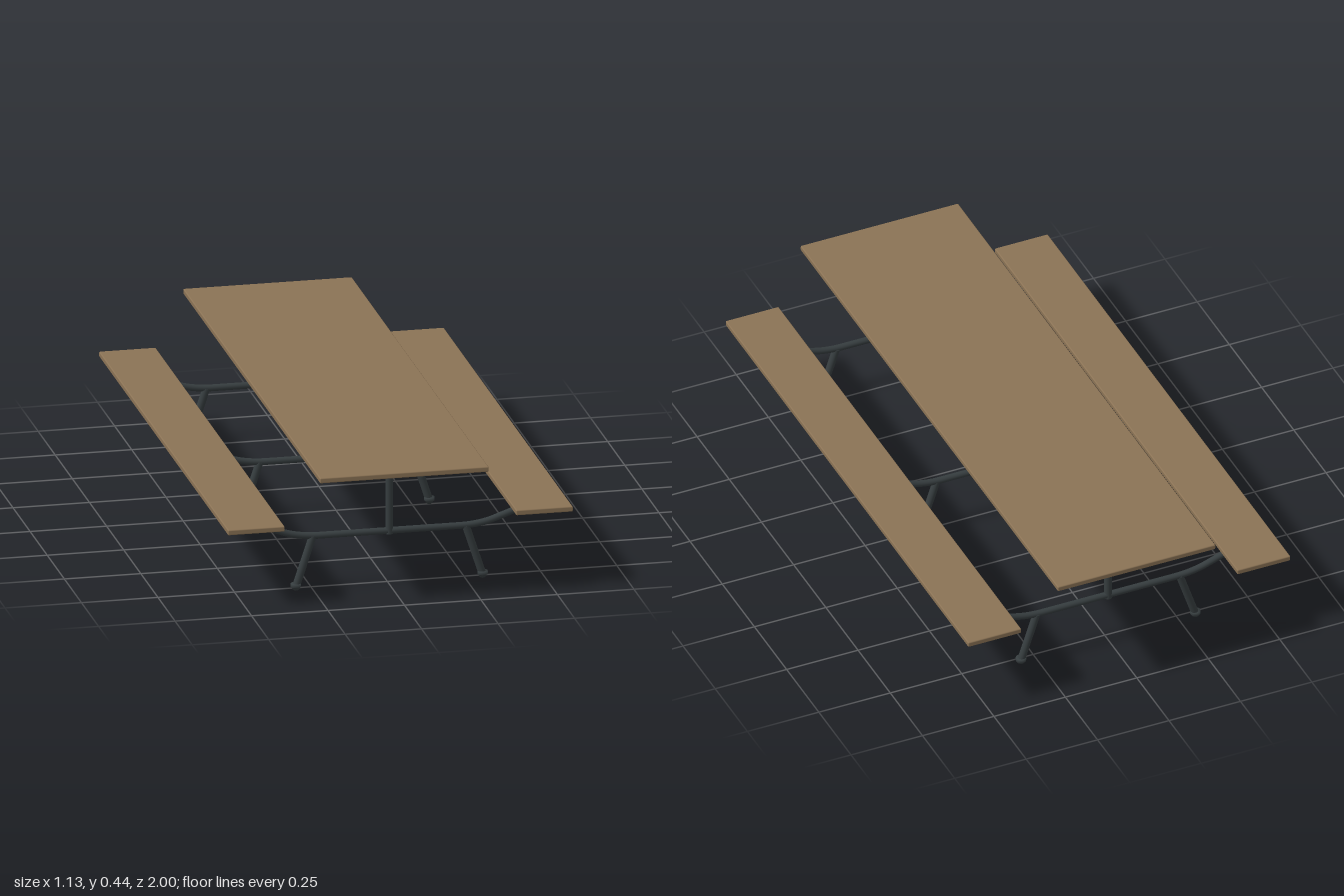
import * as THREE from 'three';
import { RoundedBoxGeometry } from 'three/addons/geometries/RoundedBoxGeometry.js';

export function createModel() {
  const wood = new THREE.MeshStandardMaterial({ color: 0x8b7355 });
  wood.name = 'brown wood';
  const steel = new THREE.MeshStandardMaterial({ color: 0x363d3f });
  steel.name = 'dark steel';

  const model = new THREE.Group();
  model.name = 'picnicTable';

  const add = (parent, name, geometry, material, x = 0, y = 0, z = 0) => {
    const mesh = new THREE.Mesh(geometry, material);
    mesh.name = name;
    mesh.position.set(x, y, z);
    parent.add(mesh);
    return mesh;
  };

  // Boards
  add(model, 'tableTop', new RoundedBoxGeometry(0.552, 0.018, 2, 2, 0.004), wood, 0, 0.436, 0);
  for (const s of [-1, 1]) {
    add(model, s > 0 ? 'leftBench' : 'rightBench',
      new RoundedBoxGeometry(0.186, 0.018, 1.886, 2, 0.004), wood, s * 0.471, 0.264, 0);
  }

  // One continuous rail: level in the middle, bending up to the benches
  const V = (x, y) => new THREE.Vector3(x, y, 0);
  const rail = new THREE.CurvePath();
  rail.add(new THREE.LineCurve3(V(-0.485, 0.247), V(-0.34, 0.196)));
  rail.add(new THREE.QuadraticBezierCurve3(V(-0.34, 0.196), V(-0.29, 0.18), V(-0.23, 0.18)));
  rail.add(new THREE.LineCurve3(V(-0.23, 0.18), V(0.23, 0.18)));
  rail.add(new THREE.QuadraticBezierCurve3(V(0.23, 0.18), V(0.29, 0.18), V(0.34, 0.196)));
  rail.add(new THREE.LineCurve3(V(0.34, 0.196), V(0.485, 0.247)));
  const railGeometry = new THREE.TubeGeometry(rail, 80, 0.011, 16);

  // Foot: a flange over a short rounded tip
  const footGeometry = new THREE.LatheGeometry([
    [0, 0], [0.006, 0.001], [0.012, 0.006], [0.013, 0.012], [0.017, 0.013], [0.017, 0.024], [0, 0.024],
  ].map(([x, y]) => new THREE.Vector2(x, y)), 16);

  // Three identical frames along the table
  for (const z of [-0.777, 0, 0.777]) {
    const frame = new THREE.Group();
    frame.name = 'frame';
    frame.position.z = z;
    model.add(frame);

    add(frame, 'rail', railGeometry, steel);
    add(frame, 'post', new THREE.CylinderGeometry(0.0125, 0.0125, 0.25, 16), steel, 0, 0.295, 0);
    add(frame, 'tableBracket', new THREE.BoxGeometry(0.388, 0.011, 0.026), steel, 0, 0.4225, 0);

    for (const s of [-1, 1]) {
      add(frame, 'benchBracket', new THREE.BoxGeometry(0.11, 0.009, 0.026), steel, s * 0.472, 0.2485, 0);
      add(frame, 'benchPad', new THREE.BoxGeometry(0.07, 0.006, 0.024), steel, s * 0.453, 0.2535, 0);

      // Splayed leg
      const top = V(s * 0.25, 0.18), bottom = V(s * 0.304, 0.016);
      const leg = add(frame, 'leg',
        new THREE.CylinderGeometry(0.0125, 0.0125, top.distanceTo(bottom), 16), steel);
      leg.position.copy(top).add(bottom).multiplyScalar(0.5);
      leg.quaternion.setFromUnitVectors(new THREE.Vector3(0, 1, 0), top.clone().sub(bottom).normalize());
      add(frame, 'foot', footGeometry, steel, s * 0.305, 0, 0);
    }
  }
  return model;
}
